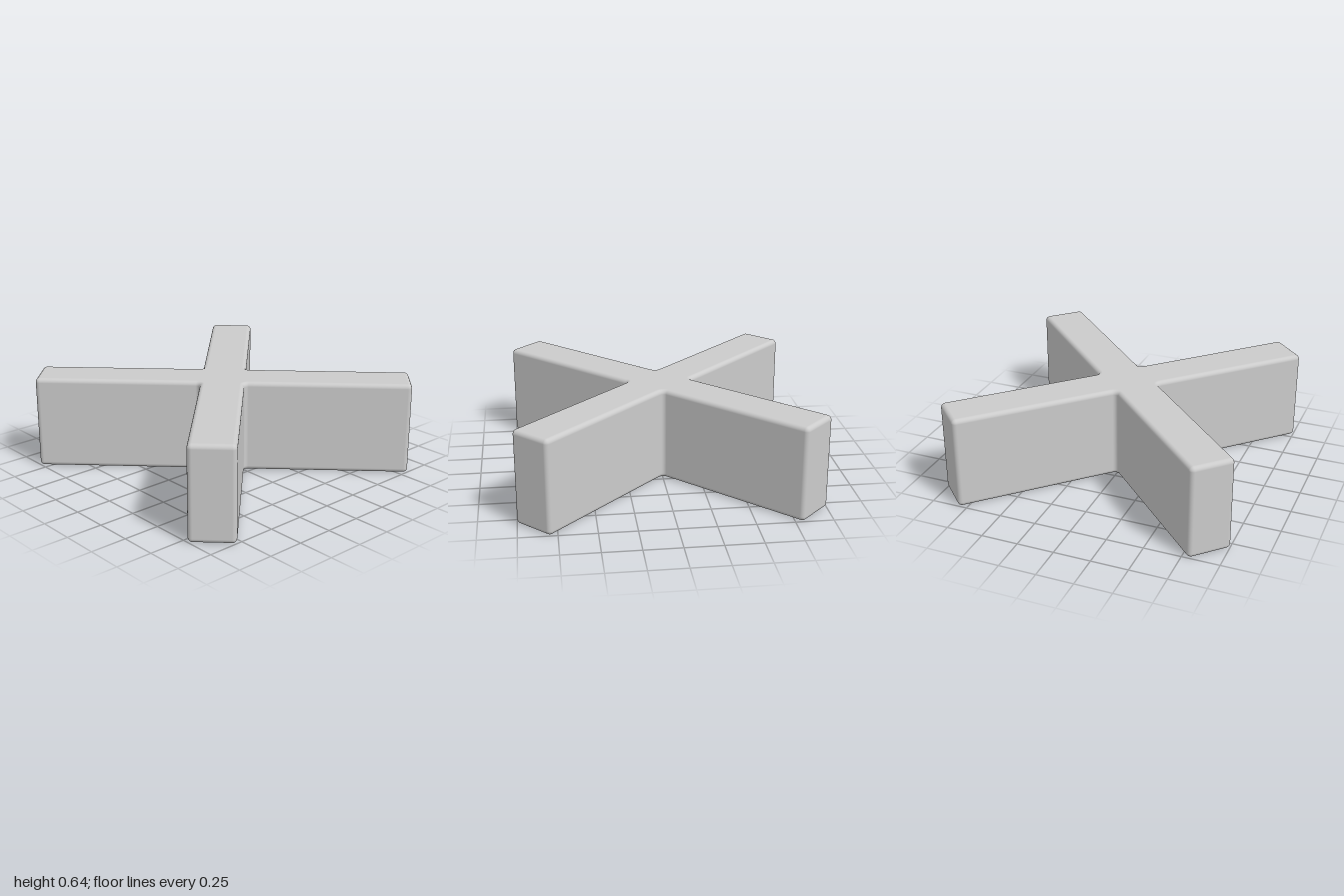
import * as THREE from 'three';

const H = 0.64;   // height
const L = 1.28;   // arm length from the centre
const W = 0.15;   // half the arm width
const R = 0.03;   // edge rounding
const STEPS = 6;  // segments per rounded corner

// Outline of the cross: points with outward normals, counter-clockwise from above
function crossOutline() {
  const outline = [];
  const corner = (cu, cv, from, to, sign, turn) => {
    for (let i = 0; i <= STEPS; i++) {
      const a = from + (to - from) * i / STEPS;
      const n = new THREE.Vector2(Math.cos(a), Math.sin(a));
      const p = new THREE.Vector2(cu, cv).addScaledVector(n, sign * R);
      const o = new THREE.Vector2();
      outline.push({ p: p.rotateAround(o, turn), n: n.rotateAround(o, turn) });
    }
  };
  const q = Math.PI / 2;
  for (let k = 0; k < 4; k++) {
    const turn = Math.PI / 4 + k * q;
    corner(L - R, -W + R, -q, 0, 1, turn);   // two rounded corners at the arm's end
    corner(L - R, W - R, 0, q, 1, turn);
    corner(W + R, W + R, q, 0, -1, turn);    // fillet to the next arm
  }
  return outline;
}

// Stack of outline rings: bottom cap, lower rounding, wall, upper rounding, top cap
function roundedCross() {
  const outline = crossOutline();
  const n = outline.length;
  const rings = [{ phi: -Math.PI / 2, y: 0, scale: 0 }];
  for (const base of [R, H - R]) {
    const start = base === R ? -Math.PI / 2 : 0;
    for (let i = 0; i <= STEPS; i++) {
      const phi = start + (Math.PI / 2) * i / STEPS;
      rings.push({ phi, y: base + R * Math.sin(phi), scale: 1 });
    }
  }
  rings.push({ phi: Math.PI / 2, y: H, scale: 0 });

  const positions = [], normals = [], index = [];
  rings.forEach(({ phi, y, scale }, j) => {
    const c = Math.cos(phi), inset = R * (1 - c);
    outline.forEach(({ p, n: d }, i) => {
      positions.push((p.x - d.x * inset) * scale, y, -(p.y - d.y * inset) * scale);
      normals.push(d.x * c, Math.sin(phi), -d.y * c);
      if (j === 0) return;
      const next = (i + 1) % n;
      const a = (j - 1) * n + i, b = (j - 1) * n + next;
      const e = j * n + next, f = j * n + i;
      index.push(a, b, e, a, e, f);
    });
  });

  const geometry = new THREE.BufferGeometry();
  geometry.setAttribute('position', new THREE.Float32BufferAttribute(positions, 3));
  geometry.setAttribute('normal', new THREE.Float32BufferAttribute(normals, 3));
  geometry.setIndex(index);
  return geometry;
}

export function createModel() {
  const group = new THREE.Group();
  group.name = 'crossBlock';
  const body = new THREE.Mesh(
    roundedCross(),
    new THREE.MeshStandardMaterial({ color: 0xcccccc })
  );
  body.name = 'cross';
  group.add(body);
  return group;
}
